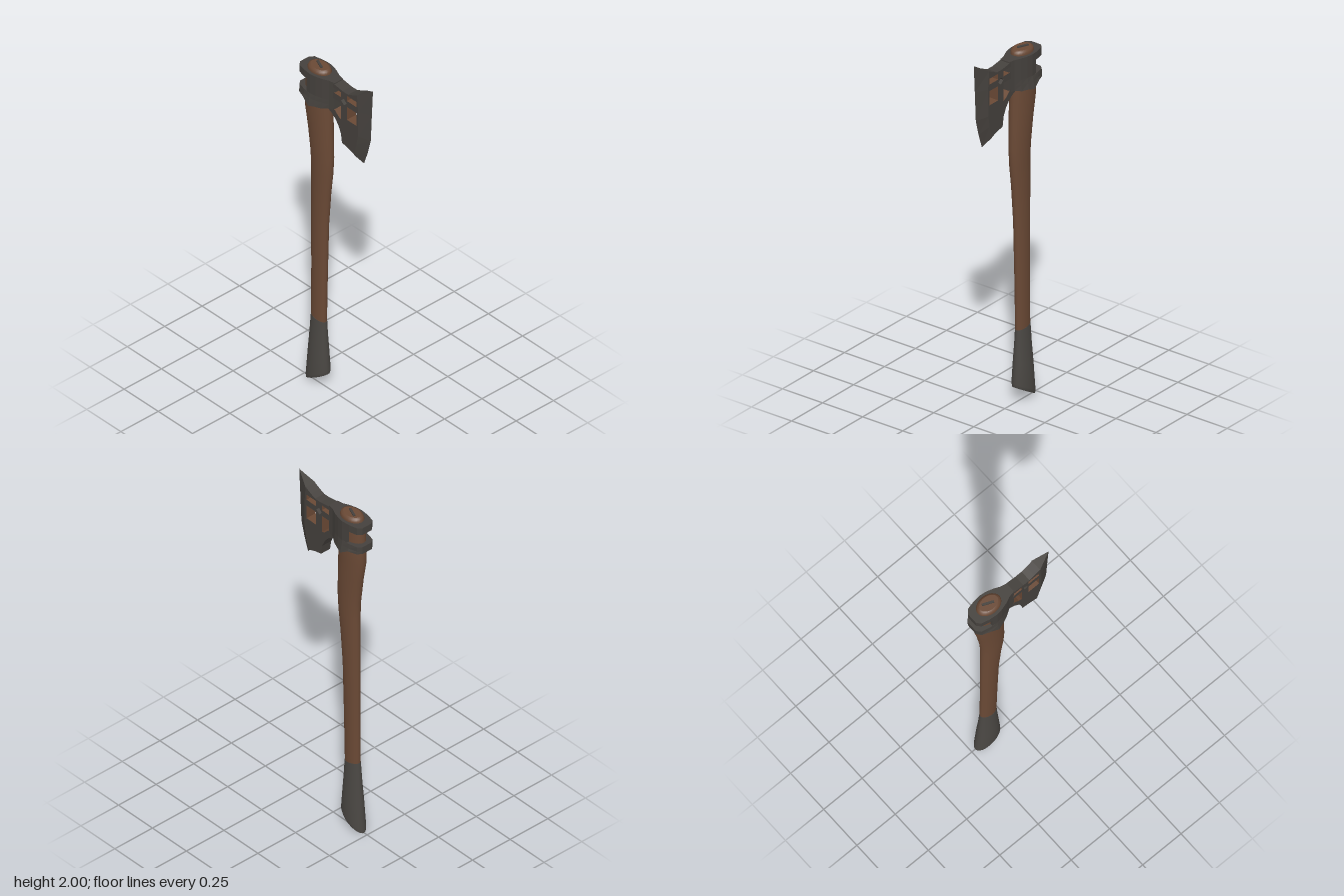
import * as THREE from 'three';

const mat = (name, color) => {
  const m = new THREE.MeshStandardMaterial({ color });
  m.name = name;
  return m;
};

// Skin a stack of equal-length rings, bottom to top, with flat end caps
function loft(rings, flat) {
  const n = rings[0].length, pos = [], idx = [];
  rings.forEach(r => r.forEach(p => pos.push(...p)));
  for (let i = 0; i < rings.length - 1; i++) {
    for (let j = 0; j < n; j++) {
      const k = (j + 1) % n, a = i * n, b = a + n;
      idx.push(a + j, a + k, b + k, a + j, b + k, b + j);
    }
  }
  [rings[0], rings[rings.length - 1]].forEach((r, top) => {
    const s = pos.length / 3;
    r.forEach(p => pos.push(...p));
    pos.push(...[0, 1, 2].map(c => r.reduce((t, p) => t + p[c], 0) / n));
    for (let j = 0; j < n; j++) {
      const k = (j + 1) % n;
      idx.push(s + n, s + (top ? j : k), s + (top ? k : j));
    }
  });
  let g = new THREE.BufferGeometry();
  g.setAttribute('position', new THREE.Float32BufferAttribute(pos, 3));
  g.setIndex(idx);
  if (flat) g = g.toNonIndexed();
  g.computeVertexNormals();
  return g;
}

// Oval ring: front height, back height, front z, back z, half width
function oval([yf, yb, zf, zb, hw]) {
  const ring = [];
  for (let i = 0; i < 24; i++) {
    const a = i / 24 * Math.PI * 2, t = (1 - Math.cos(a)) / 2;
    ring.push([hw * Math.sin(a), yf + (yb - yf) * t, zf + (zb - zf) * t]);
  }
  return ring;
}

export function createModel() {
  const steel = mat('dark steel', 0x45413d);
  const wood = mat('brown wood', 0x6a4935);
  const wrap = mat('grip grey', 0x4a4743);
  const group = new THREE.Group();
  const add = (name, geometry, material) => {
    const mesh = new THREE.Mesh(geometry, material);
    mesh.name = name;
    group.add(mesh);
    return mesh;
  };

  // Grip with a slanted butt
  add('grip', loft([
    [0.09, 0.005, -0.078, -0.228, 0.042],
    [0.11, 0.03, -0.075, -0.226, 0.048],
    [0.22, 0.18, -0.083, -0.214, 0.042],
    [0.32, 0.31, -0.09, -0.203, 0.034],
    [0.40, 0.42, -0.094, -0.195, 0.029],
  ].map(oval)), wrap);

  // Curved shaft, ending in a domed top above the collar
  add('handle', loft([
    [0.40, 0.42, -0.095, -0.194, 0.028],
    [0.70, 0.70, -0.089, -0.192, 0.030],
    [1.00, 1.00, -0.081, -0.191, 0.033],
    [1.20, 1.20, -0.066, -0.190, 0.037],
    [1.32, 1.32, -0.052, -0.189, 0.040],
    [1.42, 1.42, -0.047, -0.193, 0.043],
    [1.56, 1.56, -0.050, -0.210, 0.047],
    [1.68, 1.68, -0.054, -0.231, 0.050],
    [1.77, 1.77, -0.058, -0.229, 0.051],
    [1.89, 1.89, -0.065, -0.222, 0.051],
    [1.935, 1.935, -0.070, -0.210, 0.050],
    [1.947, 1.947, -0.075, -0.205, 0.045],
    [1.953, 1.953, -0.086, -0.194, 0.036],
  ].map(oval)), wood);

  const wedge = add('topWedge', new THREE.BoxGeometry(0.012, 0.01, 0.062), steel);
  wedge.position.set(0.002, 1.954, -0.143);
  wedge.rotation.y = Math.PI - 0.4;

  // Collar outline, mirrored; goes from the front round the +x side to the back
  const half = [[0.028, 0.0], [0.035, -0.035], [0.05, -0.068], [0.061, -0.105],
    [0.066, -0.14], [0.062, -0.185], [0.051, -0.232], [0.03, -0.25]];
  const outline = [...half, ...half.map(([x, z]) => [-x, z]).reverse()];
  const ring = (y, grow = 0, zMin = -1) => outline.map(([x, z]) => {
    const flare = grow * Math.max(0, 1 - Math.abs(z + 0.145) / 0.11);
    return [x + Math.sign(x) * flare, typeof y === 'function' ? y(z) : y, Math.max(z, zMin)];
  });
  const skirt = z => z < -0.16 ? 1.77 : z < -0.12 ? 1.742 : z < -0.06 ? 1.75 : 1.76;
  add('collarFront', loft([ring(1.8, 0, -0.17), ring(1.9, 0, -0.17)], true), steel);
  add('collarTopBand', loft([ring(1.888), ring(1.93)], true), steel);
  add('collarLowerBand', loft([ring(skirt, 0.014), ring(1.785, 0.005), ring(1.812)], true), steel);

  // Pierced blade plate, drawn as (z, y)
  const bevel = [[0.145, 1.572], [0.163, 1.64], [0.174, 1.70], [0.176, 1.85], [0.168, 1.947]];
  const contour = [...bevel, [0.13, 1.928], [0.10, 1.915], [0.06, 1.915], [0, 1.924],
    [-0.05, 1.93], [-0.05, 1.755], [-0.02, 1.74], [0.005, 1.72], [0.03, 1.69],
    [0.048, 1.65], [0.056, 1.597], [0.10, 1.588]];
  const box = (z0, z1, y0, y1) => [[z0, y0], [z0, y1], [z1, y1], [z1, y0]];
  const windows = [
    box(0.092, 0.163, 1.872, 1.904),
    box(-0.025, 0.05, 1.872, 1.902),
    box(0.092, 0.163, 1.757, 1.836),
    [[-0.025, 1.785], [-0.025, 1.836], [0.05, 1.836], [0.05, 1.735], [0.03, 1.745], [0.005, 1.768]],
  ];
  const diamond = [[0.07, 1.834], [0.05, 1.854], [0.07, 1.874], [0.09, 1.854]];
  const vec = pts => pts.map(p => new THREE.Vector2(...p));
  const plate = new THREE.Shape(vec(contour));
  plate.holes = [...windows, diamond].map(h => new THREE.Path(vec(h)));
  const plateGeo = new THREE.ExtrudeGeometry(plate, { depth: 0.06, bevelEnabled: false });
  plateGeo.translate(0, 0, -0.03).rotateY(-Math.PI / 2);
  // Window walls are brown, everything else steel
  const walls = plateGeo.groups[1].start + contour.length * 6;
  const wallCount = windows.flat().length * 6;
  plateGeo.clearGroups();
  plateGeo.addGroup(0, walls, 0);
  plateGeo.addGroup(walls, wallCount, 1);
  plateGeo.addGroup(walls + wallCount, diamond.length * 6, 0);
  add('bladePlate', plateGeo, [steel, wood]);

  // Sharpened edge: triangular sections up the blade
  const edge = [[0.185, 1.525], [0.212, 1.605], [0.234, 1.69], [0.242, 1.85], [0.25, 2.0]];
  add('cuttingEdge', loft(edge.map(([z, y], i) => {
    const [bz, by] = bevel[i];
    return [[0, y, z], [0.032, by, bz], [-0.032, by, bz]];
  }), true), steel);

  return group;
}
